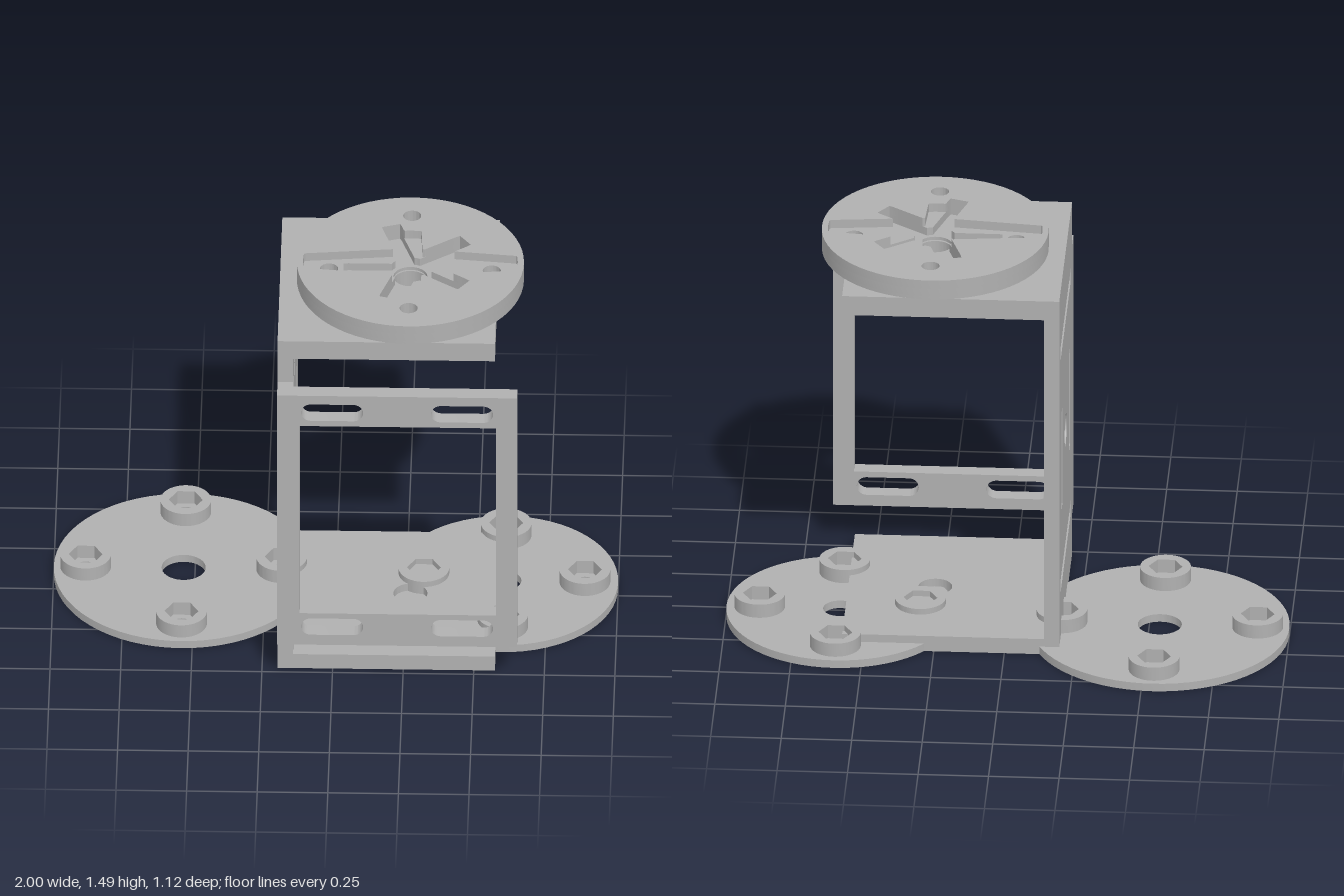
import * as THREE from 'three';
import { toCreasedNormals } from 'three/addons/utils/BufferGeometryUtils.js';

const metal = new THREE.MeshStandardMaterial({ color: 0xb0b0b0 });
metal.name = 'grey metal';

// Outline helpers
const rect = (a0, b0, a1, b1, T = THREE.Path) =>
  new T([[a0, b0], [a1, b0], [a1, b1], [a0, b1]].map(p => new THREE.Vector2(...p)));
const circle = (a, b, r, T = THREE.Path) => new T().absarc(a, b, r, 0, Math.PI * 2, false);
const polar = (a, b, n, radius) => new THREE.Path(Array.from({ length: n }, (_, i) => {
  const t = i / n * Math.PI * 2, r = radius(t);
  return new THREE.Vector2(a + r * Math.cos(t), b + r * Math.sin(t));
}));
function slot(a0, a1, b0, b1) {
  const r = (b1 - b0) / 2, b = (b0 + b1) / 2;
  return new THREE.Path()
    .absarc(a1 - r, b, r, -Math.PI / 2, Math.PI / 2, false)
    .absarc(a0 + r, b, r, Math.PI / 2, Math.PI * 1.5, false);
}

function extrude(shape, holes, depth) {
  shape.holes.push(...holes);
  return new THREE.ExtrudeGeometry(shape, { depth, bevelEnabled: false, curveSegments: 32 });
}
function mesh(name, geo) {
  const m = new THREE.Mesh(toCreasedNormals(geo, 0.5), metal);
  m.name = name;
  return m;
}
// Horizontal slab drawn in x, z between two heights
const slab = (name, shape, holes, y0, y1) =>
  mesh(name, extrude(shape, holes, y1 - y0).rotateX(Math.PI / 2).translate(0, y1, 0));

// Round base with a ring of socket bolts
function base(name, x, z, r, hole, pitch) {
  const g = new THREE.Group();
  g.name = name;
  const spots = [0, 1, 2, 3].map(i => [
    x + pitch * Math.cos(i * Math.PI / 2), z + pitch * Math.sin(i * Math.PI / 2)]);
  g.add(slab('baseDisc', circle(x, z, r, THREE.Shape),
    [circle(x, z, hole), ...spots.map(p => circle(...p, 0.03))], 0, 0.03));
  for (const p of spots) {
    g.add(slab('socketBolt', circle(...p, 0.09, THREE.Shape),
      [polar(...p, 6, () => 0.06)], 0.03, 0.082));
  }
  return g;
}

export function createModel() {
  const model = new THREE.Group();
  model.name = 'servoBracket';
  const X0 = -0.195, X1 = 0.575, Z0 = -0.297, Z1 = 0.475, CX = 0.267, CZ = 0.087;

  model.add(base('largeBase', -0.54, -0.1, 0.46, 0.078, 0.347));
  model.add(base('smallBase', 0.597, -0.043, 0.403, 0.06, 0.285));

  // Slotted side wall, with a tab reaching forward to the frame
  const wall = new THREE.Shape([[Z0, 0], [Z1, 0], [Z1, 0.16], [0.56, 0.16], [0.56, 1.23],
    [Z1, 1.23], [Z1, 1.405], [Z0, 1.405]].map(p => new THREE.Vector2(...p)));
  model.add(mesh('sideWall', extrude(wall, [
    rect(-0.22, 1.13, 0.4, 1.18), rect(-0.22, 0.205, 0.4, 0.255),
    rect(0.303, 0.503, 0.36, 0.89), rect(-0.16, 0.503, -0.102, 0.89),
    circle(0.09, 0.697, 0.06),
  ], 0.055).rotateY(-Math.PI / 2).translate(-0.14, 0, 0)));

  // Bottom and top plates
  model.add(slab('bottomPlate', rect(-0.14, Z0, X1, Z1, THREE.Shape), [circle(CX, CZ, 0.06)], 0, 0.06));
  const top = new THREE.Shape();
  top.moveTo(-0.14, Z0).lineTo(X1, Z0).lineTo(X1, CZ - 0.06).lineTo(CX + 0.25, CZ - 0.06);
  top.absarc(CX + 0.25, CZ, 0.06, -Math.PI / 2, Math.PI / 2, true);
  top.lineTo(X1, CZ + 0.06).lineTo(X1, Z1).lineTo(-0.14, Z1);
  model.add(slab('topPlate', top, [[0, 0], [-0.25, 0], [0, 0.25], [0, -0.25]]
    .map(([a, b]) => circle(CX + a, CZ + b, 0.06)), 1.33, 1.405));

  // Front mounting frame
  const windows = [rect(-0.115, 0.295, 0.58, 1.1)];
  for (const y of [0.203, 1.123])
    for (const x of [-0.11, 0.35]) windows.push(slot(x, x + 0.22, y, y + 0.07));
  model.add(mesh('frontFrame',
    extrude(rect(-0.14, 0.16, 0.655, 1.23, THREE.Shape), windows, 0.057).translate(0, 0, 0.503)));

  // Wheel recesses: distance from the centre to the edge of a tapering arm
  const reach = (t, dir, len, wIn, wOut) => {
    const c = Math.cos(t - dir), s = Math.abs(Math.sin(t - dir));
    return c <= 0.01 ? 0 : Math.min(len / c, wIn / (s + c * (wIn - wOut) / len));
  };
  const star = t => Math.max(0.075, ...[0, 1, 2, 3, 4].map(i =>
    reach(t, Math.PI * (1 + i * 0.4) % (Math.PI * 2), 0.237, 0.035, 0.035)));
  const arms = t => Math.max(star(t),
    ...[0, Math.PI].map(d => Math.min(0.38, reach(t, d, 0.38, 0.085, 0.045))),
    ...[0.5, 1.5].map(d => Math.min(0.195, reach(t, d * Math.PI, 0.195, 0.045, 0.035))));
  const screws = n => [[0, 0.288], [0, -0.288], [0.288, 0], [-0.288, 0]].slice(0, n)
    .map(([a, b]) => circle(CX + a, CZ + b, 0.032));
  const layer = (name, holes, y0, y1) =>
    slab(name, circle(CX, CZ, 0.402, THREE.Shape), holes, y0, y1);
  const wheel = new THREE.Group();
  wheel.name = 'hornWheel';
  wheel.add(
    layer('wheelFloor', [circle(CX, CZ, 0.06), ...screws(4)], 1.41, 1.422),
    layer('wheelCore', [polar(CX, CZ, 360, star), ...screws(4)], 1.422, 1.452),
    layer('wheelFace', [polar(CX, CZ, 360, arms), ...screws(2)], 1.452, 1.485));
  model.add(wheel);
  return model;
}
